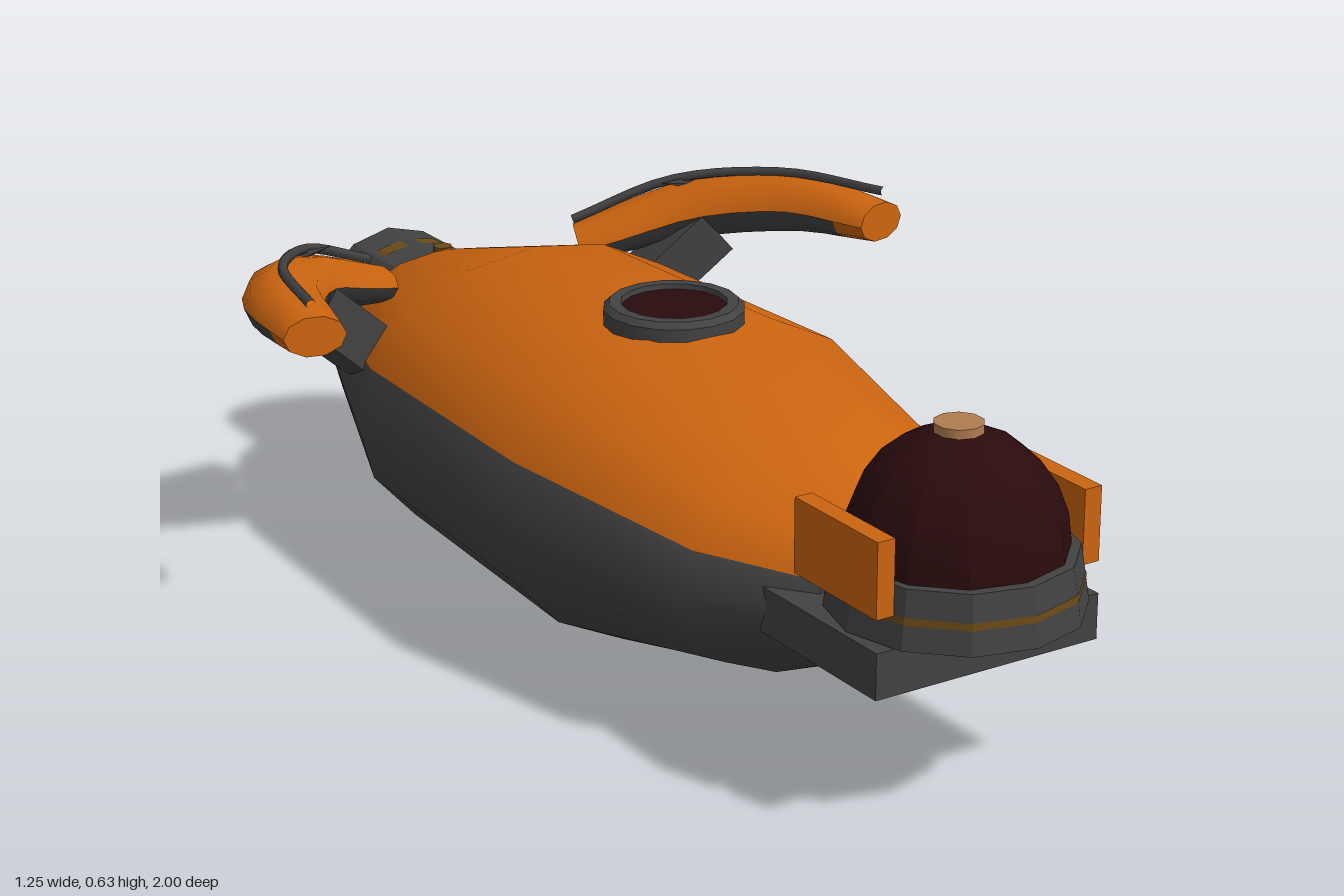
import * as THREE from 'three';
import { toCreasedNormals } from 'three/addons/utils/BufferGeometryUtils.js';

const paint = (name, color) => Object.assign(new THREE.MeshStandardMaterial({ color }), { name });

// Skin over rings of points; slot(i, j) picks the material of each quad, both ends are capped.
function loft(rings, slot, capSlots, crease) {
  const n = rings[0].length, pos = [], faces = [[], []];
  rings.forEach(r => r.forEach(p => pos.push(p.x, p.y, p.z)));
  for (let i = 0; i < rings.length - 1; i++) {
    for (let j = 0; j < n; j++) {
      const k = (j + 1) % n, a = i * n + j, b = i * n + k;
      faces[slot(i, j)].push(a, b, b + n, a, b + n, a + n);
    }
  }
  const last = (rings.length - 1) * n;
  for (let j = 1; j < n - 1; j++) {
    faces[capSlots[0]].push(0, j + 1, j);
    faces[capSlots[1]].push(last, last + j, last + j + 1);
  }
  const g = new THREE.BufferGeometry();
  g.setAttribute('position', new THREE.Float32BufferAttribute(pos, 3));
  g.setIndex([...faces[0], ...faces[1]]);
  g.addGroup(0, faces[0].length, 0);
  g.addGroup(faces[0].length, faces[1].length, 1);
  return toCreasedNormals(g, crease);
}

export function createModel() {
  const model = new THREE.Group();
  const orange = paint('orange shell', 0xcb6410);
  const grey = paint('dark grey', 0x424242);
  const maroon = paint('dark maroon glass', 0x2a0b0d);
  const tan = paint('tan', 0xb07c50);
  const gold = paint('dull gold trim', 0x6a4a18);

  const add = (name, geometry, material, x = 0, y = 0, z = 0, parent = model) => {
    const m = new THREE.Mesh(geometry, material);
    m.name = name;
    m.position.set(x, y, z);
    parent.add(m);
    return m;
  };
  const flat = g => toCreasedNormals(g, 0.1);
  const lathe = (pts, sides) =>
    new THREE.LatheGeometry(pts.map(p => new THREE.Vector2(...p)), sides);

  // Hull: elliptical sections [z, centre y, half width, half height], back to front
  const sections = [
    [-0.86, 0.29, 0.15, 0.13], [-0.79, 0.29, 0.235, 0.165], [-0.45, 0.288, 0.365, 0.266],
    [0.07, 0.285, 0.387, 0.28], [0.48, 0.29, 0.3, 0.19], [0.65, 0.296, 0.16, 0.116],
  ];
  const hullRings = sections.map(([z, cy, rx, ry]) => Array.from({ length: 16 }, (_, j) => {
    const a = j * Math.PI / 8;
    return new THREE.Vector3(rx * Math.cos(a), cy + ry * Math.sin(a), z);
  }));
  add('hull', loft(hullRings, (i, j) => (j >= 1 && j <= 6 ? 0 : 1), [1, 1], 0.75), [orange, grey]);

  // Top hatch
  add('hatchRing', toCreasedNormals(lathe(
    [[0.12, 0.53], [0.12, 0.572], [0.11, 0.582], [0.09, 0.582], [0.085, 0.55]], 16), 0.6), grey);
  add('hatchGlass', new THREE.CylinderGeometry(0.09, 0.09, 0.03, 16), maroon, 0, 0.558, 0);
  add('tailStud', new THREE.CylinderGeometry(0.018, 0.018, 0.02, 8), gold, 0, 0.452, -0.79);

  // Rear nozzle
  const nozzle = new THREE.Group();
  nozzle.name = 'nozzle';
  nozzle.position.y = 0.29;
  nozzle.rotation.x = -Math.PI / 2;
  model.add(nozzle);
  add('nozzleTube', flat(lathe(
    [[0.15, 0.82], [0.15, 1], [0.108, 1], [0.104, 0.965]], 12)), grey, 0, 0, 0, nozzle);
  add('nozzleBand', flat(new THREE.CylinderGeometry(0.149, 0.149, 0.034, 16, 1, true)),
    gold, 0, 0.91, 0, nozzle);
  add('nozzleGlow', new THREE.CylinderGeometry(0.108, 0.108, 0.02, 12), tan, 0, 0.962, 0, nozzle);

  // Nose: support block, turret base, dome and side plates
  add('noseBlock', new THREE.BoxGeometry(0.42, 0.077, 0.32), grey, 0, 0.283, 0.72);
  add('turretBase', flat(new THREE.CylinderGeometry(0.19, 0.205, 0.095, 12)), grey, 0, 0.372, 0.795);
  add('turretBand', flat(new THREE.CylinderGeometry(0.1985, 0.1995, 0.012, 12, 1, true)),
    gold, 0, 0.37, 0.795);
  const dome = add('dome', toCreasedNormals(
    new THREE.SphereGeometry(0.178, 12, 6, 0, Math.PI * 2, 0, Math.PI / 2), 0.4), maroon, 0, 0.418, 0.79);
  dome.scale.y = 1.08;
  add('domeCap', new THREE.CylinderGeometry(0.04, 0.04, 0.025, 10), tan, 0, 0.607, 0.79);
  for (const s of [1, -1]) {
    add('sidePlate', new THREE.BoxGeometry(0.032, 0.125, 0.215), orange, s * 0.194, 0.437, 0.77);
  }

  // Swept arms with struts and ridge wires, one on each side
  for (const s of [1, -1]) {
    const arm = new THREE.Group();
    arm.name = s > 0 ? 'leftArm' : 'rightArm';
    model.add(arm);
    const curveOf = pts => new THREE.CatmullRomCurve3(
      pts.map(([x, y, z]) => new THREE.Vector3(s * x, y, z)));

    const path = curveOf([[0.215, 0.465, -0.66], [0.4, 0.525, -0.565], [0.525, 0.56, -0.4], [0.57, 0.568, -0.2]]);
    const steps = 10;
    const rings = Array.from({ length: steps + 1 }, (_, i) => {
      const t = i / steps, p = path.getPoint(t), d = path.getTangent(t);
      const side = new THREE.Vector3(0, 1, 0).cross(d).normalize();
      const up = d.clone().cross(side);
      const bulge = Math.sin(Math.PI * t);
      const rx = 0.054 + 0.018 * bulge, ry = 0.035 + 0.019 * bulge;
      return Array.from({ length: 10 }, (_, j) => {
        const a = j * Math.PI / 5;
        return p.clone().addScaledVector(side, rx * Math.cos(a)).addScaledVector(up, ry * Math.sin(a));
      });
    });
    add('armShell', loft(rings, (i, j) => (j < 5 || i >= steps - 1 ? 0 : 1), [1, 0], 0.75),
      [orange, grey], 0, 0, 0, arm);

    const wire = curveOf([[0.215, 0.505, -0.68], [0.375, 0.577, -0.595], [0.51, 0.612, -0.43], [0.575, 0.624, -0.2]]);
    add('ridgeWire', new THREE.TubeGeometry(wire, 16, 0.009, 6), grey, 0, 0, 0, arm);
    const barb = add('ridgeBarb', new THREE.ConeGeometry(0.014, 0.09, 4), grey, s * 0.385, 0.575, -0.575, arm);
    barb.rotation.z = s * Math.PI / 2.2;

    // Strut joining the arm to the hull
    const from = new THREE.Vector3(s * 0.26, 0.36, -0.575), to = new THREE.Vector3(s * 0.42, 0.5, -0.53);
    const strut = add('strut', new THREE.BoxGeometry(0.1, 0.09, from.distanceTo(to)), grey, 0, 0, 0, arm);
    strut.position.lerpVectors(from, to, 0.5);
    strut.lookAt(to);
  }
  return model;
}
